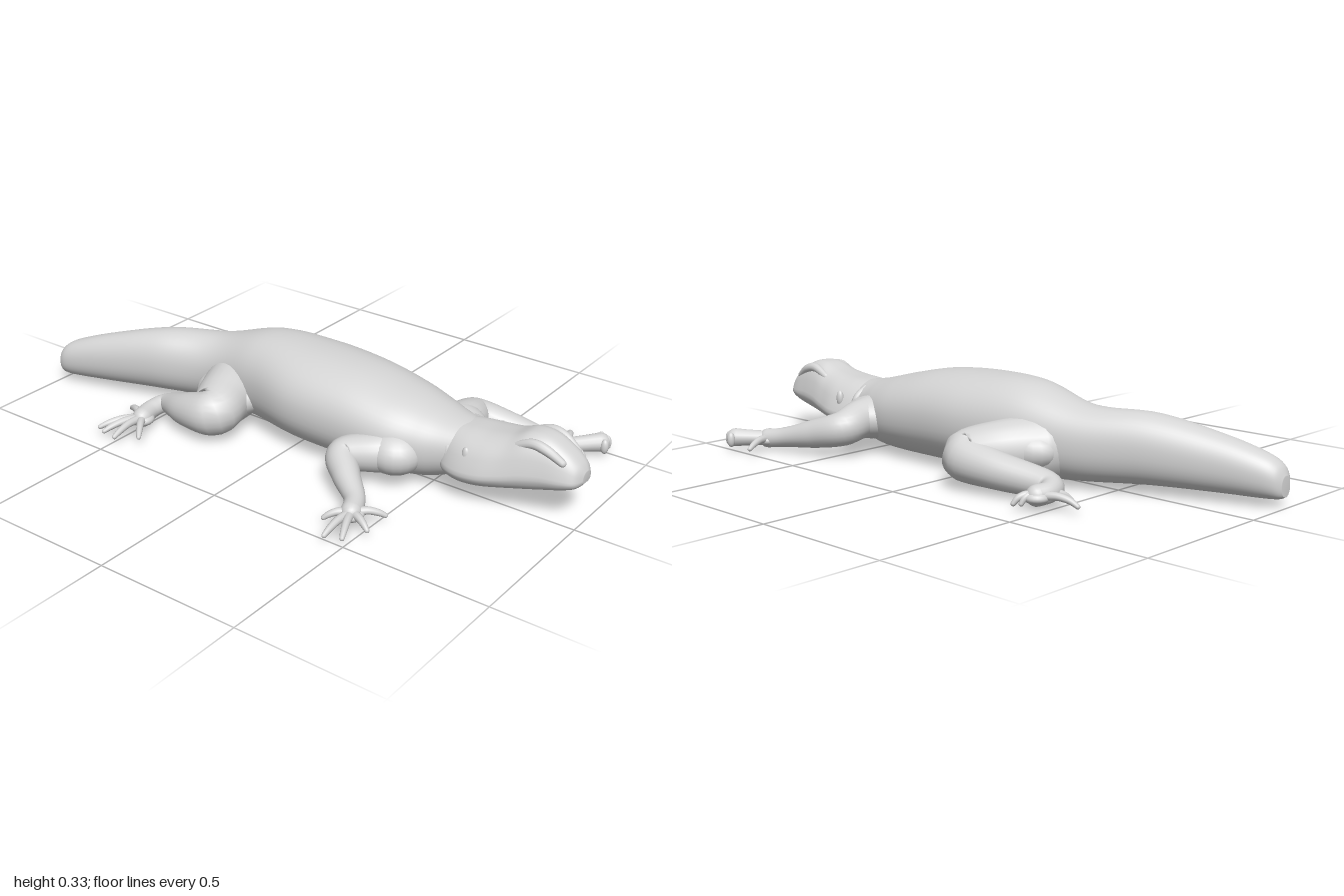
import * as THREE from 'three';

const skin = new THREE.MeshStandardMaterial({ color: 0xd4d4d4 });
skin.name = 'grey skin';

// Smooth curve through rows of numbers, sampled at t = 0..1
function sample(rows, t) {
  const n = rows.length - 1;
  const f = Math.min(Math.max(t, 0), 1) * n;
  const i = Math.min(Math.floor(f), n - 1);
  const u = f - i;
  const row = (k) => rows[Math.min(Math.max(k, 0), n)];
  return rows[0].map((_, c) => {
    const a = row(i - 1)[c], b = row(i)[c], d = row(i + 1)[c], e = row(i + 2)[c];
    return b + 0.5 * u * (d - a + u * (2 * a - 5 * b + 4 * d - e + u * (3 * (b - d) + e - a)));
  });
}

// Closed skin over a row of equal rings, capped at both ends
function loft(rings) {
  const m = rings[0].length, pos = [], idx = [];
  rings.forEach((ring) => ring.forEach((p) => pos.push(p.x, p.y, p.z)));
  for (let i = 0; i < rings.length - 1; i++) {
    for (let j = 0; j < m; j++) {
      const a = i * m + j, b = i * m + (j + 1) % m;
      idx.push(a, a + m, b, b, a + m, b + m);
    }
  }
  const cap = (ring, start, flip) => {
    const c = new THREE.Vector3();
    ring.forEach((p) => c.addScaledVector(p, 1 / m));
    const centre = pos.length / 3;
    pos.push(c.x, c.y, c.z);
    for (let j = 0; j < m; j++) {
      const a = start + j, b = start + (j + 1) % m;
      idx.push(centre, flip ? b : a, flip ? a : b);
    }
  };
  cap(rings[0], 0, false);
  cap(rings[rings.length - 1], (rings.length - 1) * m, true);
  const g = new THREE.BufferGeometry();
  g.setAttribute('position', new THREE.Float32BufferAttribute(pos, 3));
  g.setIndex(idx);
  g.computeVertexNormals();
  return g;
}

// Torso and head: rows of [x, centre z, half width, bottom y, top y]
function trunk(rows, steps, pow, taper) {
  const rings = [], sides = 48;
  for (let i = 0; i <= steps; i++) {
    const [x, zc, w, y0, y1] = sample(rows, i / steps);
    const ring = [];
    for (let j = 0; j < sides; j++) {
      const a = (j / sides) * Math.PI * 2, c = Math.cos(a), s = Math.sin(a);
      const v = Math.sign(s) * Math.abs(s) ** pow;
      const h = Math.sign(c) * Math.abs(c) ** pow * (1 - taper * Math.max(0, v + 0.4));
      ring.push(new THREE.Vector3(x, (y0 + y1) / 2 + v * (y1 - y0) / 2, zc + h * w));
    }
    rings.push(ring);
  }
  return loft(rings);
}

// Limb with rounded ends: rows of [x, y, z, radius]
function limb(rows, steps, sides) {
  const rings = [], up = new THREE.Vector3(0, 1, 0);
  const ringAt = (t, along, scale) => {
    const [x, y, z, r] = sample(rows, t);
    const p = sample(rows, t - 0.01), q = sample(rows, t + 0.01);
    const dir = new THREE.Vector3(q[0] - p[0], q[1] - p[1], q[2] - p[2]).normalize();
    const side = dir.clone().cross(up).normalize();
    const rise = side.clone().cross(dir);
    const ring = [];
    for (let j = 0; j < sides; j++) {
      const a = (j / sides) * Math.PI * 2;
      ring.push(new THREE.Vector3(x, y, z).addScaledVector(dir, along * r)
        .addScaledVector(side, Math.cos(a) * r * scale)
        .addScaledVector(rise, Math.sin(a) * r * scale));
    }
    rings.push(ring);
  };
  const ends = [1.5, 1.1, 0.7, 0.35];
  ends.forEach((a) => ringAt(0, -Math.sin(a), Math.cos(a)));
  for (let i = 0; i <= steps; i++) ringAt(i / steps, 0, 1);
  ends.reverse().forEach((a) => ringAt(1, Math.sin(a), Math.cos(a)));
  return loft(rings);
}

export function createModel() {
  const model = new THREE.Group();
  model.name = 'lizard';
  const add = (name, geometry, parent = model) => {
    const mesh = new THREE.Mesh(geometry, skin);
    mesh.name = name;
    parent.add(mesh);
    return mesh;
  };
  const blob = (name, [x, y, z], [sx, sy, sz], parent) => {
    const mesh = add(name, new THREE.SphereGeometry(1, 24, 16), parent);
    mesh.position.set(x, y, z);
    mesh.scale.set(sx, sy, sz);
  };

  // Blunt tail running into belly, shoulders and neck
  add('bodyAndTail', trunk([
    [-1, 0.17, 0.022, 0.035, 0.1], [-0.98, 0.168, 0.045, 0.027, 0.135],
    [-0.93, 0.155, 0.06, 0.025, 0.165], [-0.8, 0.115, 0.075, 0.027, 0.208],
    [-0.6, 0.045, 0.095, 0.028, 0.255], [-0.4, -0.03, 0.11, 0.02, 0.265],
    [-0.2, -0.048, 0.155, 0.01, 0.32], [0, -0.04, 0.196, 0.006, 0.325],
    [0.2, -0.038, 0.196, 0.003, 0.312], [0.36, -0.04, 0.182, 0.004, 0.28],
    [0.47, -0.045, 0.15, 0.01, 0.252], [0.54, -0.045, 0.122, 0.03, 0.236],
    [0.63, -0.045, 0.09, 0.07, 0.222],
  ], 96, 0.92, 0));

  // Wedge-shaped head with wide jowls and a narrow crown
  add('head', trunk([
    [0.545, -0.045, 0.09, 0.075, 0.205], [0.565, -0.045, 0.12, 0.06, 0.222],
    [0.62, -0.046, 0.14, 0.053, 0.228], [0.69, -0.048, 0.142, 0.058, 0.233],
    [0.76, -0.048, 0.125, 0.07, 0.246], [0.82, -0.05, 0.108, 0.08, 0.269],
    [0.88, -0.054, 0.092, 0.092, 0.266], [0.94, -0.057, 0.077, 0.107, 0.235],
    [0.98, -0.058, 0.058, 0.122, 0.202], [0.998, -0.058, 0.025, 0.14, 0.175],
  ], 64, 0.68, 0.25));

  // Low brow ridges, ear folds and neck folds, mirrored about the head's midline
  for (const s of [-1, 1]) {
    const mid = -0.053;
    add('browRidge', limb([[0.78, 0.222, mid + s * 0.064, 0.012], [0.84, 0.246, mid + s * 0.06, 0.016],
      [0.89, 0.238, mid + s * 0.058, 0.016], [0.94, 0.208, mid + s * 0.05, 0.012]], 16, 12));
    blob('earFold', [0.645, 0.165, mid + s * 0.112], [0.014, 0.028, 0.012]);
    add('neckFold', limb([[0.565, 0.205, mid + s * 0.06, 0.012], [0.572, 0.17, mid + s * 0.098, 0.014],
      [0.58, 0.1, mid + s * 0.112, 0.012]], 12, 10));
  }

  // Bent leg from hip to foot, with toes spread to the given [x, z] tips
  const addLeg = (name, bones, toes) => {
    const group = new THREE.Group();
    group.name = name;
    model.add(group);
    add('leg', limb(bones, 40, 24), group);
    const [hx, hy, hz, hr] = sample(bones, 0.5 / (bones.length - 1));
    blob('haunch', [hx, hy, hz], [hr + 0.025, 0.075, 0.095], group);
    const [px, py, pz] = bones[bones.length - 1];
    blob('foot', [px, py - 0.005, pz], [0.042, 0.022, 0.042], group);
    for (const [tx, tz] of toes) {
      const at = (k, y, r) => [px + (tx - px) * k, y, pz + (tz - pz) * k, r];
      add('toe', limb([at(0.1, py, 0.016), at(0.45, py + 0.004, 0.013),
        at(0.75, py - 0.004, 0.011), at(0.95, 0.025, 0.008)], 12, 10), group);
    }
    return group;
  };

  addLeg('rightForeleg',
    [[0.43, 0.11, 0.05, 0.075], [0.36, 0.11, 0.12, 0.066], [0.275, 0.1, 0.185, 0.056],
      [0.33, 0.075, 0.25, 0.046], [0.41, 0.05, 0.315, 0.034], [0.44, 0.04, 0.375, 0.034]],
    [[0.375, 0.435], [0.44, 0.52], [0.495, 0.5], [0.53, 0.415], [0.525, 0.305]]);
  addLeg('rightHindleg',
    [[-0.3, 0.11, 0.03, 0.11], [-0.27, 0.11, 0.13, 0.096], [-0.25, 0.1, 0.215, 0.08],
      [-0.36, 0.08, 0.22, 0.058], [-0.48, 0.055, 0.19, 0.034], [-0.505, 0.045, 0.24, 0.032],
      [-0.495, 0.04, 0.3, 0.034]],
    [[-0.6, 0.245], [-0.585, 0.425], [-0.55, 0.44], [-0.49, 0.45], [-0.42, 0.4]]);
  addLeg('leftHindleg',
    [[-0.28, 0.12, -0.1, 0.11], [-0.2, 0.12, -0.21, 0.095], [-0.125, 0.1, -0.3, 0.08],
      [-0.25, 0.08, -0.305, 0.062], [-0.43, 0.055, -0.265, 0.046], [-0.48, 0.05, -0.305, 0.034],
      [-0.47, 0.045, -0.35, 0.034]],
    [[-0.43, -0.415], [-0.45, -0.4], [-0.6, -0.305], [-0.525, -0.25]]);
  const fist = addLeg('leftForeleg',
    [[0.48, 0.12, -0.12, 0.085], [0.475, 0.12, -0.22, 0.068], [0.475, 0.1, -0.3, 0.06],
      [0.57, 0.075, -0.342, 0.05], [0.69, 0.05, -0.38, 0.034], [0.76, 0.04, -0.4, 0.034]],
    [[0.715, -0.52], [0.835, -0.385], [0.815, -0.325], [0.735, -0.28]]);

  // Curled outer fingers on the left forefoot
  add('curledFinger', limb([[0.77, 0.04, -0.41, 0.026], [0.81, 0.042, -0.45, 0.028],
    [0.842, 0.043, -0.482, 0.032]], 12, 14), fist);
  [[0.83, -0.51], [0.86, -0.495], [0.865, -0.465]].forEach(([x, z]) =>
    blob('knuckle', [x, 0.04, z], [0.014, 0.026, 0.014], fist));

  return model;
}
